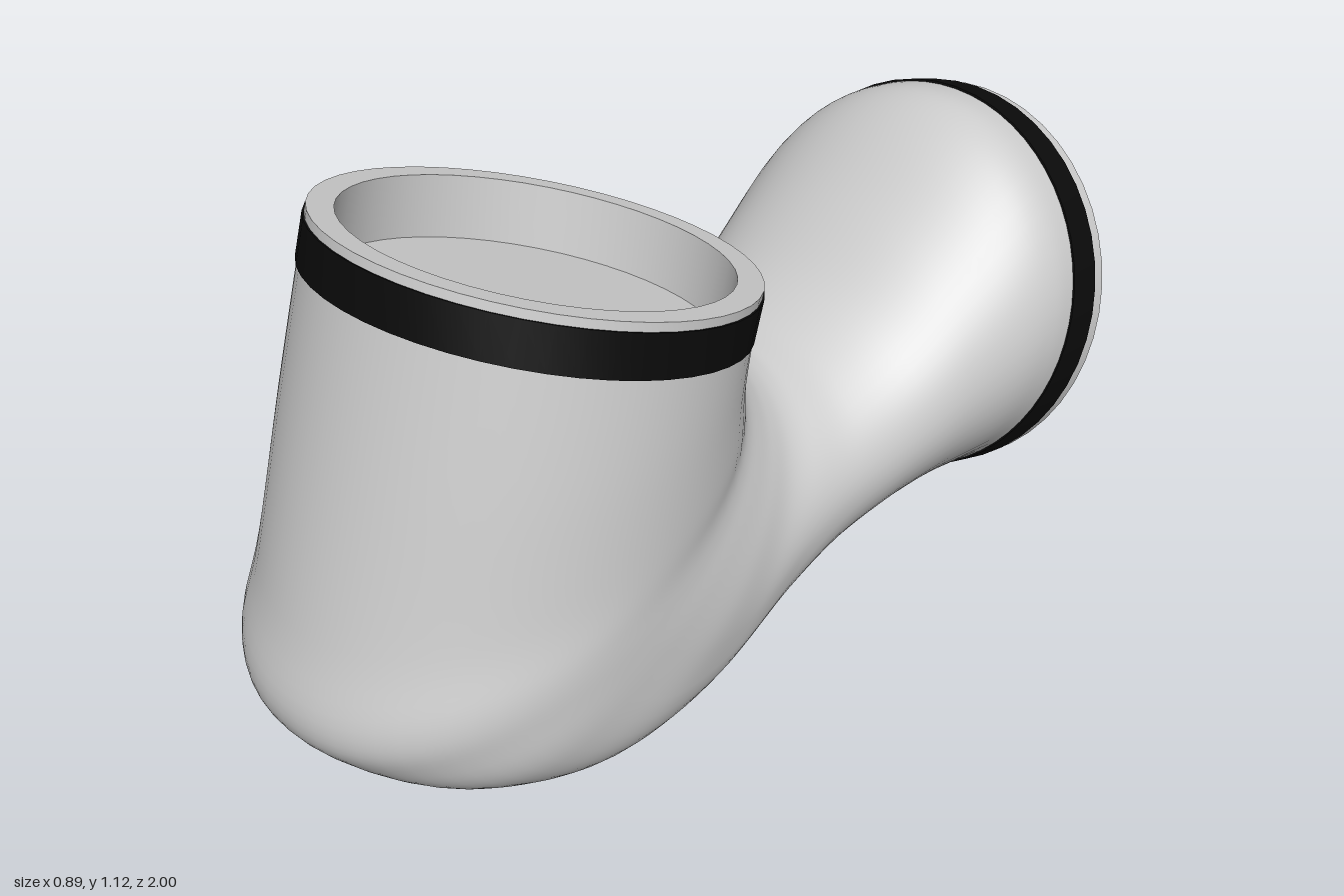
import * as THREE from 'three';
import { toCreasedNormals } from 'three/addons/utils/BufferGeometryUtils.js';

const grey = new THREE.MeshStandardMaterial({ color: 0xcccccc });
const black = new THREE.MeshStandardMaterial({ color: 0x0a0a0a });
const TILT = 0.286;

// Cross-sections along the elbow:
// inner z, inner y, outer z, outer y, half width, outer squareness, widest position
const STATIONS = [
  [-0.064, 0.86, 0.756, 1.10, 0.428, 2, 0.5],
  [-0.042, 0.784, 0.778, 1.024, 0.428, 2, 0.5],
  [-0.035, 0.72, 0.86, 0.74, 0.43, 2, 0.5],
  [-0.05, 0.67, 0.95, 0.425, 0.43, 2, 0.5],
  [-0.065, 0.645, 0.998, 0.26, 0.43, 2.1, 0.52],
  [-0.08, 0.625, 0.955, 0.17, 0.43, 2.3, 0.54],
  [-0.1, 0.605, 0.82, 0.09, 0.427, 3, 0.56],
  [-0.125, 0.588, 0.6, 0.025, 0.418, 3.4, 0.6],
  [-0.16, 0.575, 0.35, 0.004, 0.39, 3, 0.6],
  [-0.2, 0.57, 0.1, 0.042, 0.362, 2.4, 0.53],
  [-0.28, 0.585, -0.12, 0.085, 0.352, 2.1, 0.5],
  [-0.4, 0.645, -0.3, 0.113, 0.367, 2, 0.5],
  [-0.55, 0.765, -0.45, 0.12, 0.397, 2, 0.5],
  [-0.7, 0.885, -0.57, 0.106, 0.427, 2, 0.5],
  [-0.8, 0.935, -0.625, 0.095, 0.438, 2, 0.5],
  [-0.888, 0.932, -0.642, 0.088, 0.44, 2, 0.5],
  [-0.965, 0.908, -0.72, 0.065, 0.44, 2, 0.5],
];

// Smooth loft through the stations
function elbowGeometry(rows = 96, around = 64) {
  const curve = (pick) => new THREE.CatmullRomCurve3(
    STATIONS.map((s) => new THREE.Vector3(...pick(s))), false, 'catmullrom', 0.5);
  const inner = curve((s) => [0, s[1], s[0]]);
  const outer = curve((s) => [0, s[3], s[2]]);
  const shape = curve((s) => [s[4], s[5], s[6]]);
  const pos = [], index = [], p = new THREE.Vector3();
  for (let i = 0; i <= rows; i++) {
    const t = i / rows;
    const a = inner.getPoint(t), b = outer.getPoint(t), { x: w, y: n, z: f } = shape.getPoint(t);
    for (let j = 0; j < around; j++) {
      const ang = (j / around) * Math.PI * 2;
      const c = Math.cos(ang), s = Math.sin(ang);
      const e = c < 0 ? 2 / n : 1;
      const along = c < 0 ? f + (1 - f) * Math.pow(-c, e) : f - f * c;
      p.lerpVectors(a, b, along);
      pos.push(w * Math.sign(s) * Math.pow(Math.abs(s), e), p.y, p.z);
      if (i < rows) {
        const k = (j + 1) % around, r0 = i * around, r1 = r0 + around;
        index.push(r0 + j, r0 + k, r1 + j, r0 + k, r1 + k, r1 + j);
      }
    }
  }
  const g = new THREE.BufferGeometry();
  g.setAttribute('position', new THREE.Float32BufferAttribute(pos, 3));
  g.setIndex(index);
  g.computeVertexNormals();
  return g;
}

function lathe(points) {
  const g = new THREE.LatheGeometry(points.map(([r, y]) => new THREE.Vector2(r, y)), 48);
  return toCreasedNormals(g, 0.6);
}

// Socket end: rim lip with recessed floor, and the black band below it; y = 0 is the open face
function socket(name, radius, lip, bandEnd, y, z, angle) {
  const group = new THREE.Group();
  group.name = name;
  const bore = radius * 0.88, depth = 0.13;
  const rim = new THREE.Mesh(lathe([
    [radius, -lip - 0.02], [radius, 0], [bore, 0], [bore, -depth], [0, -depth],
  ]), grey);
  rim.name = name + 'Rim';
  const band = new THREE.Mesh(lathe([
    [radius - 0.01, -bandEnd], [radius + 0.004, -bandEnd],
    [radius + 0.004, -lip], [radius - 0.01, -lip],
  ]), black);
  band.name = name + 'Band';
  group.add(rim, band);
  group.position.set(0, y, z);
  group.rotation.x = angle;
  return group;
}

export function createModel() {
  const model = new THREE.Group();
  model.name = 'pipeElbow';
  const body = new THREE.Mesh(elbowGeometry(), grey);
  body.name = 'elbowBody';
  model.add(
    body,
    socket('topSocket', 0.427, 0.018, 0.105, 1.0, 0.34, -TILT),
    socket('backSocket', 0.44, 0.035, 0.118, 0.478, -0.875, -Math.PI / 2 - TILT),
  );
  return model;
}
